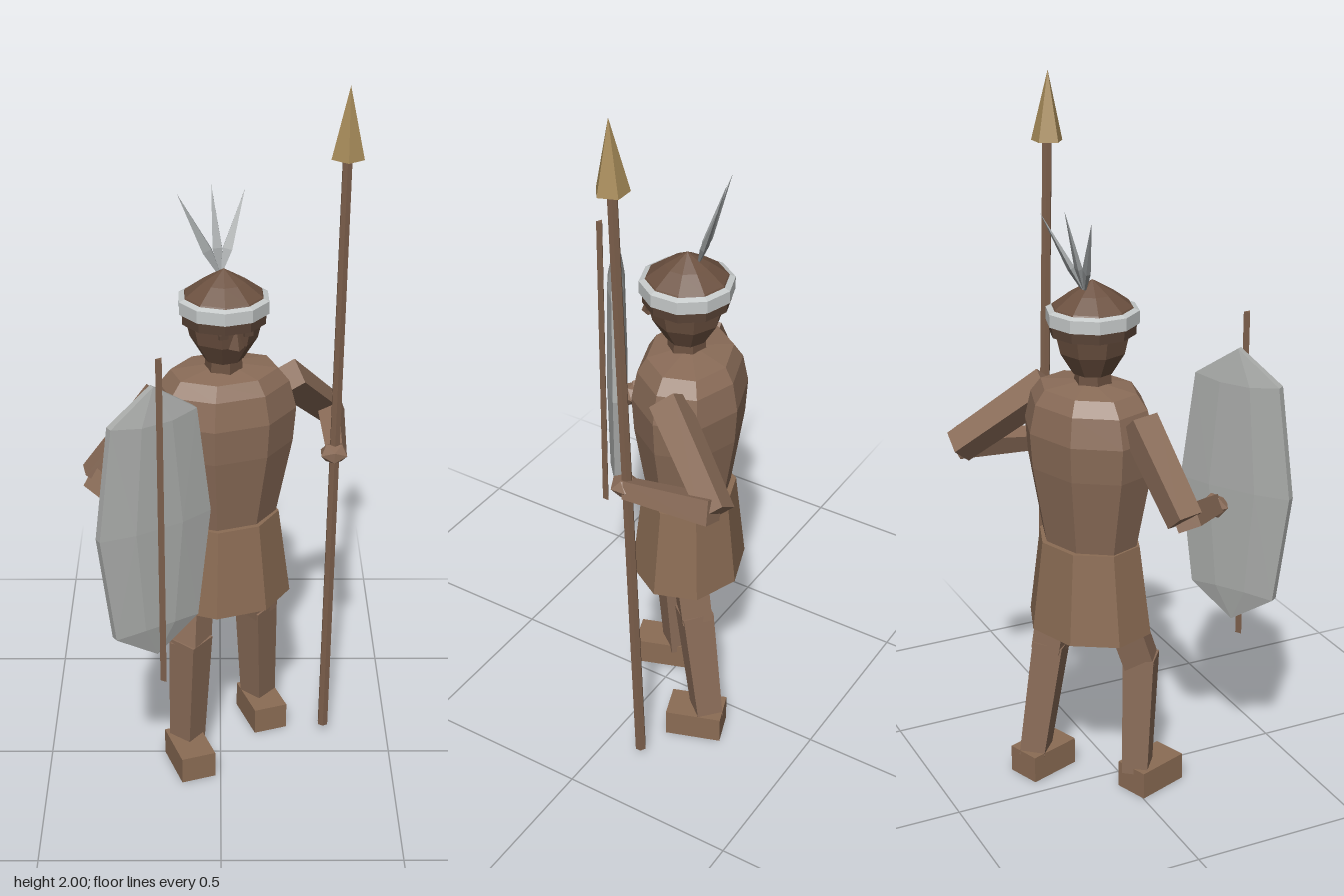
import * as THREE from 'three';
import { ConvexGeometry } from 'three/addons/geometries/ConvexGeometry.js';

const mat = (name, color) => new THREE.MeshStandardMaterial({ name, color, flatShading: true, side: THREE.DoubleSide });
const V = (x, y, z) => new THREE.Vector3(x, y, z);
const UP = V(0, 1, 0);
const TURN = 0.34; // body twist, left shoulder held back

export function createModel() {
  const skin = mat('skin', 0x8a6c58);
  const cloth = mat('skirt leather', 0x8b6c54);
  const dark = mat('face and cap', 0x6c5140);
  const hair = mat('hair', 0x594336);
  const wood = mat('wood', 0x7d604c);
  const bronze = mat('spear tip', 0xa88c5a);
  const pale = mat('headband', 0xc6caca);
  const hide = mat('shield hide', 0xaaacaa);
  const plume = mat('feather', 0x989c9d);

  const model = new THREE.Group();
  const add = (parent, name, geo, material, pos = [0, 0, 0], ry = 0) => {
    const m = new THREE.Mesh(geo, material);
    m.name = name;
    m.position.set(...pos);
    m.rotation.y = ry;
    parent.add(m);
    return m;
  };
  // tapered prism between two points
  const limb = (parent, name, a, b, ra, rb, material, sides = 4) => {
    const p = V(...a), q = V(...b), d = q.clone().sub(p);
    const geo = new THREE.CylinderGeometry(rb, ra, d.length(), sides);
    if (sides === 4) geo.rotateY(Math.PI / 4 + TURN);
    const m = add(parent, name, geo, material);
    m.position.copy(p).add(q).multiplyScalar(0.5);
    m.quaternion.setFromUnitVectors(UP, d.normalize());
    return m;
  };
  // turned solid with few sides, squashed to an oval
  const turned = (profile, sides, sx, sz) => {
    const pts = profile.map(([r, y]) => new THREE.Vector2(r, y));
    return new THREE.LatheGeometry(pts, sides, Math.PI / sides).scale(sx, 1, sz);
  };

  // body
  const body = new THREE.Group();
  body.name = 'body';
  body.position.set(0.01, 0, -0.085);
  body.rotation.y = TURN;
  model.add(body);
  add(body, 'torso', turned([[0, 0.76], [0.73, 0.76], [0.96, 0.99], [1, 1.09], [0.9, 1.17], [0.74, 1.21], [0.2, 1.225]], 8, 0.205, 0.155), skin);
  add(body, 'skirt', turned([[0, 0.53], [0.97, 0.51], [0.79, 0.77], [0.6, 0.77]], 8, 0.2, 0.165), cloth);

  // head and headdress
  const head = new THREE.Group();
  head.name = 'head';
  head.position.set(0.008, 0, -0.072);
  head.rotation.y = TURN;
  model.add(head);
  add(head, 'neck', new THREE.CylinderGeometry(0.048, 0.055, 0.09, 6), dark, [0, 1.235, 0]);
  add(head, 'face', turned([[0, 1.245], [0.055, 1.25], [0.092, 1.31], [0.106, 1.37], [0.1, 1.4]], 8, 1, 1), dark);
  add(head, 'nose', new THREE.ConeGeometry(0.022, 0.06, 4), dark, [0, 1.345, 0.1]);
  for (const s of [-1, 1]) add(head, 'eye', new THREE.BoxGeometry(0.025, 0.012, 0.008), hair, [s * 0.035, 1.35, 0.096]);
  add(head, 'hairRim', turned([[0.1, 1.36], [0.117, 1.36], [0.119, 1.4]], 10, 1, 1), hair);
  add(head, 'headband', turned([[0.117, 1.388], [0.126, 1.39], [0.126, 1.425], [0.108, 1.432]], 10, 1, 1), pale);
  add(head, 'cap', turned([[0.117, 1.42], [0.108, 1.435], [0.06, 1.47], [0, 1.505]], 10, 1, 1), dark);

  // feathers
  const root = V(-0.002, 1.475, -0.1);
  for (const tip of [V(-0.115, 1.69, -0.13), V(-0.025, 1.705, -0.165), V(0.065, 1.685, -0.195)]) {
    const d = tip.clone().sub(root), L = d.length();
    const f = add(model, 'feather', turned([[0.005, 0], [0.018, L * 0.3], [0, L]], 4, 1, 0.5), plume);
    f.position.copy(root);
    f.quaternion.setFromUnitVectors(UP, d.normalize());
  }

  // legs and feet
  limb(model, 'rightThigh', [-0.075, 0.66, -0.055], [-0.085, 0.4, 0.03], 0.062, 0.06, skin);
  limb(model, 'rightShin', [-0.085, 0.42, 0.03], [-0.098, 0.06, 0.012], 0.062, 0.052, skin);
  limb(model, 'leftThigh', [0.095, 0.66, -0.125], [0.105, 0.4, -0.165], 0.062, 0.06, skin);
  limb(model, 'leftShin', [0.105, 0.42, -0.162], [0.115, 0.06, -0.215], 0.062, 0.052, skin);
  for (const [name, x, z] of [['rightFoot', -0.09, 0.06], ['leftFoot', 0.125, -0.185]])
    add(model, name, new THREE.BoxGeometry(0.101, 0.08, 0.16), cloth, [x, 0.04, z], TURN);

  // arms and hands
  limb(model, 'leftUpperArm', [0.185, 1.165, -0.125], [0.31, 0.975, -0.35], 0.055, 0.05, skin);
  limb(model, 'leftForearm', [0.318, 0.985, -0.345], [0.322, 0.955, -0.085], 0.048, 0.034, skin);
  add(model, 'leftHand', new THREE.IcosahedronGeometry(0.042, 0).scale(1, 0.7, 1), skin, [0.315, 0.957, -0.075]);
  limb(model, 'rightUpperArm', [-0.165, 1.155, -0.02], [-0.345, 0.935, 0.025], 0.055, 0.05, skin);
  limb(model, 'rightForearm', [-0.34, 0.94, 0.03], [-0.165, 0.875, 0.205], 0.046, 0.036, skin);
  add(model, 'rightHand', new THREE.IcosahedronGeometry(0.042, 0).scale(1, 0.8, 1), skin, [-0.16, 0.872, 0.215]);

  // spear
  limb(model, 'spearShaft', [0.309, 0.025, -0.11], [0.325, 1.83, -0.057], 0.016, 0.014, wood, 6);
  limb(model, 'spearHead', [0.325, 1.81, -0.057], [0.327, 2.0, -0.052], 0.045, 0, bronze, 5);

  // shield
  const shield = new THREE.Group();
  shield.name = 'shield';
  shield.position.set(-0.175, 0.923, 0.272);
  shield.rotation.y = 0.56;
  model.add(shield);
  const pts = [];
  for (const s of [-1, 1]) {
    pts.push(V(0, s * 0.398, 0.008), V(0, s * 0.398, -0.008));
    for (const z of [-0.011, 0.011]) {
      pts.push(V(s * 0.168, 0, z));
      for (const t of [-1, 1]) pts.push(V(s * 0.127, t * 0.31, z));
    }
    for (const z of [-0.026, 0.03]) {
      pts.push(V(s * 0.07, 0, z));
      for (const t of [-1, 1]) pts.push(V(s * 0.045, t * 0.3, z * 0.85));
    }
  }
  add(shield, 'shieldBoard', new ConvexGeometry(pts), hide);
  add(shield, 'shieldPole', new THREE.CylinderGeometry(0.011, 0.011, 0.95, 3), wood, [0, 0.012, 0.042]);

  return model;
}
